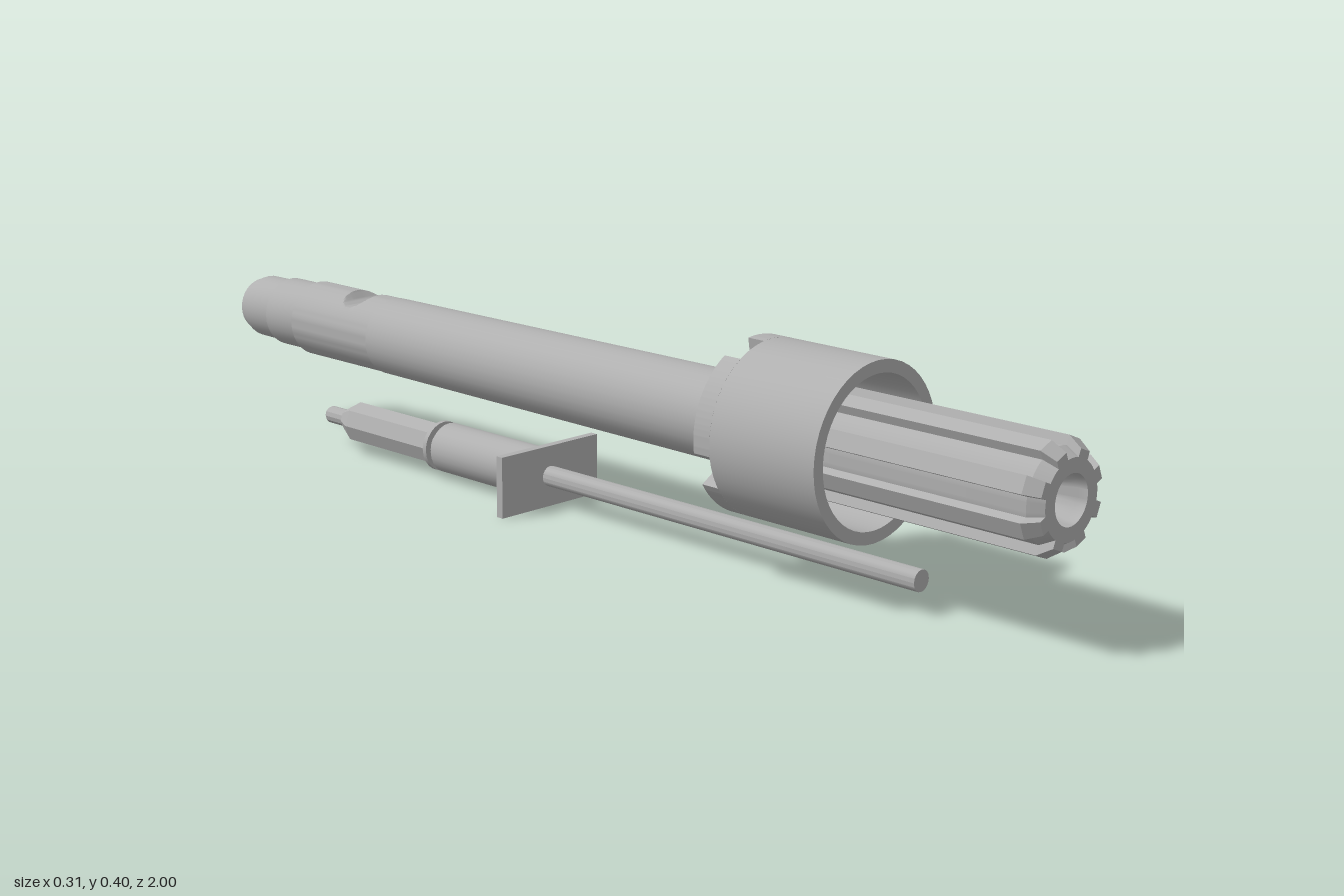
import * as THREE from 'three';
import { toCreasedNormals } from 'three/addons/utils/BufferGeometryUtils.js';

const steel = new THREE.MeshStandardMaterial({ color: 0xb0b0b0 });
steel.name = 'grey steel';

function part(parent, name, geometry, crease = 0.5) {
  const mesh = new THREE.Mesh(toCreasedNormals(geometry, crease), steel);
  mesh.name = name;
  parent.add(mesh);
  return mesh;
}

// Turned part along z; profile pairs are [radius, z], outside running back to front
function turned(profile, sides = 32) {
  const g = new THREE.LatheGeometry(profile.map(([r, z]) => new THREE.Vector2(r, z)), sides);
  return g.rotateX(Math.PI / 2);
}

function extruded(shape, z0, z1) {
  const g = new THREE.ExtrudeGeometry(shape, { depth: z1 - z0, bevelEnabled: false, curveSegments: 32 });
  return g.translate(0, 0, z0);
}

// Outline with eight straight-sided teeth
function toothedPoints(root, tip, halfWidth) {
  const pts = [];
  const polar = (r, a) => pts.push(new THREE.Vector2(r * Math.cos(a), r * Math.sin(a)));
  for (let i = 0; i < 8; i++) {
    const a = (i + 0.5) * Math.PI / 4;
    const b = Math.asin(halfWidth / root), t = Math.asin(halfWidth / tip);
    polar(root, a - b);
    polar(tip, a - t);
    polar(tip, a + t);
    polar(root, a + b);
    for (let k = 1; k < 4; k++) polar(root, a + b + (Math.PI / 4 - 2 * b) * k / 4);
  }
  return pts;
}

function circleHole(shape, r) {
  shape.holes.push(new THREE.Path().absarc(0, 0, r, 0, Math.PI * 2, true));
  return shape;
}

export function createModel() {
  const model = new THREE.Group();
  model.name = 'splinedShaftAssembly';

  // Hollow main shaft
  const shaft = new THREE.Group();
  shaft.name = 'mainShaft';
  shaft.position.y = 0.25;
  model.add(shaft);
  part(shaft, 'shaftTube', turned([[0.074, -0.58], [0.079, 0.36], [0.079, 0.48]]));
  part(shaft, 'shaftTail', turned([
    [0.03, -1], [0.052, -1], [0.061, -0.975], [0.062, -0.89], [0.059, -0.89], [0.059, -0.9],
    [0.067, -0.9], [0.067, -0.81], [0.073, -0.81]]));
  part(shaft, 'shaftBore', turned([[0.042, 1], [0.042, 0.98], [0.028, 0.93], [0.028, -0.96], [0.03, -1]]));

  // Rear journal with a cross groove scooped out of its top
  const journal = new THREE.CylinderGeometry(0.073, 0.073, 0.23, 64, 92, true);
  journal.rotateX(Math.PI / 2).translate(0, 0, -0.695);
  const p = journal.attributes.position;
  for (let i = 0; i < p.count; i++) {
    const dz = p.getZ(i) + 0.66;
    if (Math.abs(dz) < 0.032) {
      const floor = 0.087 - Math.sqrt(0.035 ** 2 - dz * dz);
      p.setY(i, Math.min(p.getY(i), floor));
    }
  }
  part(shaft, 'groovedJournal', journal, 0.5);

  // Splined head with chamfered tip
  const spline = () => circleHole(new THREE.Shape(toothedPoints(0.08, 0.096, 0.015)), 0.042);
  part(shaft, 'splines', extruded(spline(), 0.45, 0.975), 0.3);
  const tip = extruded(spline(), 0.975, 1);
  const q = tip.attributes.position;
  for (let i = 0; i < q.count; i++) {
    if (q.getZ(i) > 0.99 && Math.hypot(q.getX(i), q.getY(i)) > 0.06) {
      q.setXY(i, q.getX(i) * 0.83, q.getY(i) * 0.83);
    }
  }
  part(shaft, 'splineTip', tip, 0.3);

  // Cup-shaped collar sliding on the splines
  const collar = new THREE.Group();
  collar.name = 'collar';
  collar.position.y = 0.25;
  model.add(collar);
  part(collar, 'collarWall', turned([
    [0.094, 0.42], [0.094, 0.395], [0.153, 0.395], [0.153, 0.62], [0.131, 0.62], [0.131, 0.42], [0.094, 0.42]], 48));
  const web = new THREE.Shape().absarc(0, 0, 0.132, 0, Math.PI * 2);
  web.holes.push(new THREE.Path(toothedPoints(0.094, 0.11, 0.016).reverse()));
  part(collar, 'splinedWeb', extruded(web, 0.42, 0.46), 0.3);

  // Four dog teeth on the rear of the collar
  for (let i = 0; i < 4; i++) {
    const start = THREE.MathUtils.degToRad(20 + 90 * i) + 0.2;
    const end = start + Math.PI / 2 - 0.4;
    const dog = new THREE.Shape();
    dog.absarc(0, 0, 0.153, start, end, false);
    dog.absarc(0, 0, 0.115, end, start, true);
    part(collar, 'dogTooth', extruded(dog, 0.36, 0.396), 0.3);
  }

  // Slim push rod with square plate, sleeve and faceted nose
  const rod = new THREE.Group();
  rod.name = 'pushRod';
  rod.position.y = 0.057;
  model.add(rod);
  part(rod, 'longRod', turned([[0.019, -0.15], [0.019, 0.72], [0, 0.72]], 16));
  part(rod, 'plate', new THREE.BoxGeometry(0.238, 0.114, 0.015).translate(0, 0, -0.152));
  part(rod, 'sleeve', turned([
    [0, -0.452], [0.044, -0.452], [0.048, -0.447], [0.048, -0.438], [0.036, -0.438],
    [0.036, -0.424], [0.048, -0.424], [0.048, -0.15]], 24));
  part(rod, 'facetedNose', turned([[0.02, -0.73], [0.041, -0.69], [0.041, -0.45]], 8), 0.1);
  part(rod, 'pin', turned([[0, -0.785], [0.014, -0.785], [0.017, -0.78], [0.017, -0.73], [0.021, -0.73]], 12));

  return model;
}
